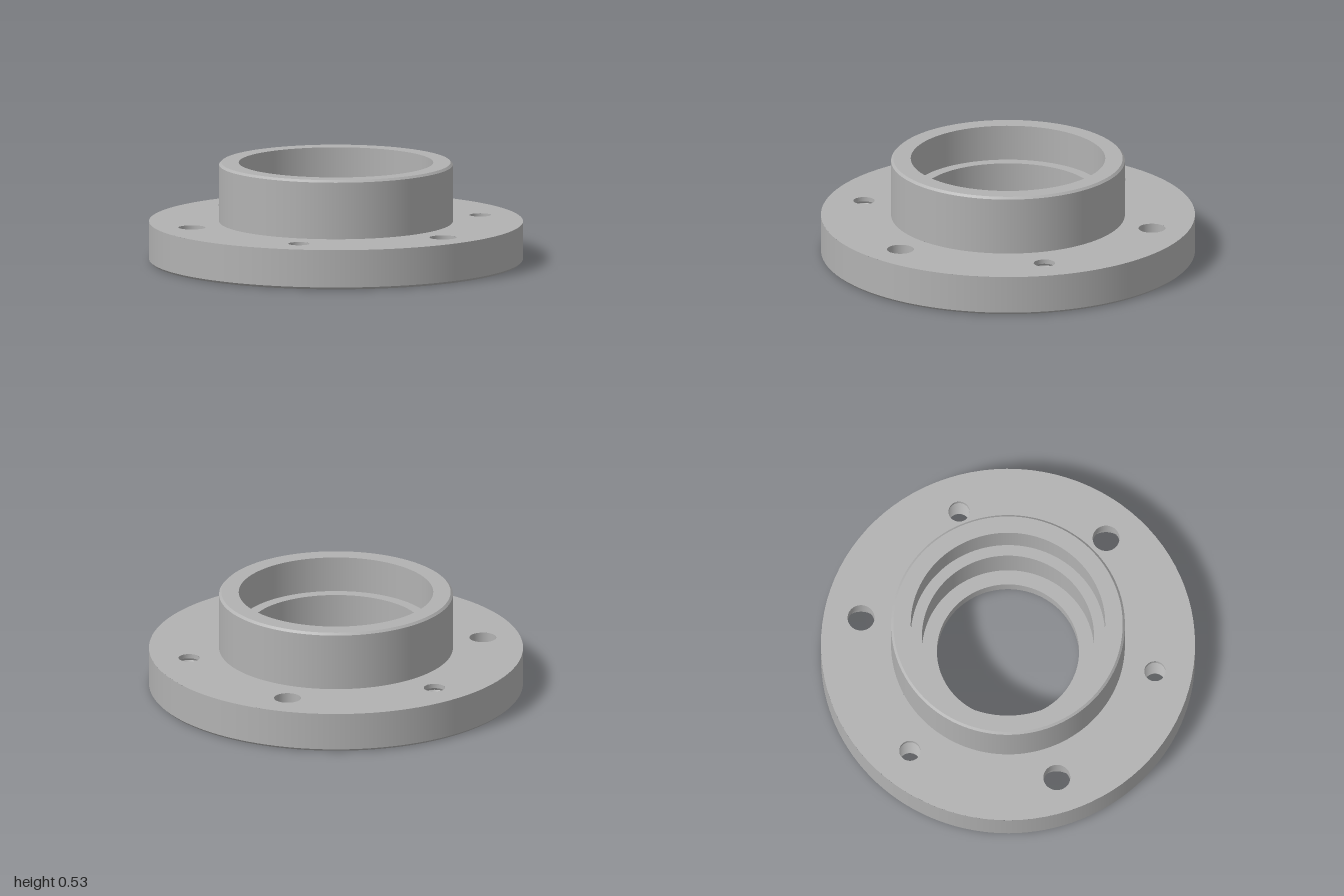
import * as THREE from 'three';
import { mergeGeometries } from 'three/addons/utils/BufferGeometryUtils.js';

const TOP = 0.214, HEIGHT = 0.532, FLOOR = 0.035, BEVEL = 0.012;
const HUB_R = 0.625, RECESS_R = 0.627;

// Turned surface with a sharp edge at every profile point
function turned(profile, sides) {
  const rings = [];
  for (let i = 0; i < profile.length - 1; i++) {
    const pair = [profile[i], profile[i + 1]].map(([r, y]) => new THREE.Vector2(r, y));
    rings.push(new THREE.LatheGeometry(pair, sides));
  }
  return mergeGeometries(rings);
}

// Flat ring pierced by the bolt holes, facing up or down
function piercedRing(outer, inner, holes, y, up) {
  const shape = new THREE.Shape().absarc(0, 0, outer, 0, Math.PI * 2);
  shape.holes.push(new THREE.Path().absarc(0, 0, inner, 0, Math.PI * 2, true));
  for (const h of holes) {
    // rotating about x maps the shape's y to -z (up) or +z (down)
    shape.holes.push(new THREE.Path().absarc(h.x, up ? -h.z : h.z, h.r, 0, Math.PI * 2, true));
  }
  const geo = new THREE.ShapeGeometry(shape, 48);
  geo.rotateX(up ? -Math.PI / 2 : Math.PI / 2);
  return geo.translate(0, y, 0);
}

export function createModel() {
  const group = new THREE.Group();
  const steel = new THREE.MeshStandardMaterial({ color: 0xb2b2b2 });
  steel.name = 'steel grey';
  const add = (name, geo, x = 0, z = 0) => {
    const mesh = new THREE.Mesh(geo, steel);
    mesh.name = name;
    mesh.position.set(x, 0, z);
    group.add(mesh);
  };

  // Six holes on one circle, alternating counterbored and threaded
  const spots = Array.from({ length: 6 }, (_, i) => {
    const a = i * Math.PI / 3;
    return { x: 0.8 * Math.sin(a), z: 0.8 * Math.cos(a), threaded: i % 2 === 0 };
  });
  const sized = (threadR, boreR) => spots.map(s => ({ ...s, r: s.threaded ? threadR : boreR }));

  // Flange
  add('flangeRim', turned([[1 - BEVEL, 0], [1, BEVEL], [1, TOP]], 128));
  add('flangeTop', piercedRing(1, HUB_R, sized(0.057, 0.072), TOP, true));
  add('flangeBottom', piercedRing(1 - BEVEL, RECESS_R, sized(0.077, 0.113), 0, false));

  // Hub wall, stepped bore and shallow recess underneath
  add('hub', turned([[HUB_R, TOP], [HUB_R, HEIGHT - BEVEL], [HUB_R - BEVEL, HEIGHT], [0.52, HEIGHT]], 128));
  add('steppedBore', turned([[0.52, HEIGHT], [0.52, 0.34], [0.46, 0.34], [0.46, 0.11], [0.38, 0.11], [0.38, FLOOR]], 128));
  add('bottomRecess', turned([[0.38, FLOOR], [RECESS_R, FLOOR], [RECESS_R, 0]], 128));

  // Hole walls, listed from the top down
  const thread = [[0.057, TOP]];
  for (let y = 0.19; y > 0.035; y -= 0.024) {
    thread.push([0.057, y], [0.064, y - 0.012], [0.057, y - 0.024]);
  }
  thread.push([0.057, 0.02], [0.077, 0]);
  const threadGeo = turned(thread, 40);
  const boreGeo = turned([[0.072, TOP], [0.072, 0.14], [0.113, 0.14], [0.113, 0]], 48);
  for (const s of spots) {
    add(s.threaded ? 'threadedHole' : 'counterboredHole', s.threaded ? threadGeo : boreGeo, s.x, s.z);
  }
  return group;
}
